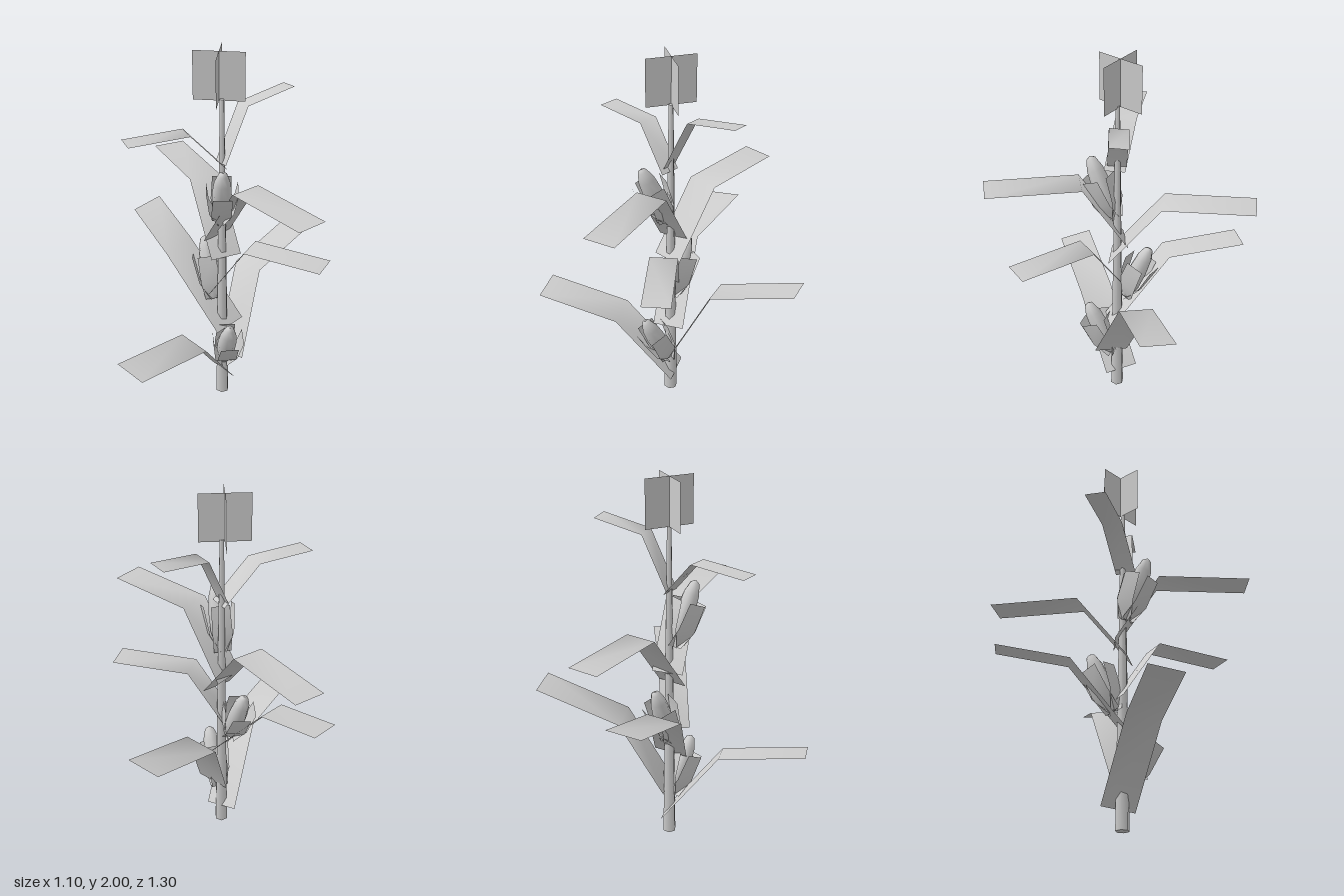
import * as THREE from 'three';

const plain = new THREE.MeshStandardMaterial({ color: 0xcccccc });
const thin = new THREE.MeshStandardMaterial({ color: 0xcccccc, side: THREE.DoubleSide });
const V = (a) => new THREE.Vector3(...a);

// Ribbon through centre points; side is half the width as a vector
function ribbon(name, points, sides) {
  const pos = [], idx = [];
  points.forEach((p, i) => {
    const c = V(p), s = V(sides[i] || sides[0]);
    pos.push(...c.clone().sub(s).toArray(), ...c.clone().add(s).toArray());
    if (i) {
      const a = 2 * i - 2;
      idx.push(a, a + 1, a + 3, a, a + 3, a + 2);
    }
  });
  const g = new THREE.BufferGeometry();
  g.setAttribute('position', new THREE.Float32BufferAttribute(pos, 3));
  g.setIndex(idx);
  g.computeVertexNormals();
  const m = new THREE.Mesh(g, thin);
  m.name = name;
  return m;
}

// Ear with four bent husk leaves, built upright and tilted from base to tip
function ear(base, tip, turn) {
  const group = new THREE.Group();
  group.name = 'ear';
  const dir = V(tip).sub(V(base));
  const len = dir.length();
  const profile = [[0, 0], [0.028, 0.04], [0.048, 0.3], [0.05, 0.55], [0.042, 0.8], [0.024, 0.96], [0, 1]]
    .map(([r, t]) => new THREE.Vector2(r, t * len));
  const cob = new THREE.Mesh(new THREE.LatheGeometry(profile, 8), plain);
  cob.name = 'cob';
  group.add(cob);
  for (let i = 0; i < 4; i++) {
    const husk = ribbon('huskLeaf',
      [[0, 0, 0.012], [0, 0.1, 0.062], [0, 0.245, 0.08]],
      [[0.045, 0, 0], [0.052, 0, 0], [0.048, 0, 0]]);
    husk.rotation.y = turn + i * Math.PI / 2;
    group.add(husk);
  }
  group.position.set(...base);
  group.quaternion.setFromUnitVectors(new THREE.Vector3(0, 1, 0), dir.normalize());
  return group;
}

export function createModel() {
  const model = new THREE.Group();
  model.name = 'cornPlant';

  // Tapering stalk
  const stalk = new THREE.Mesh(new THREE.CylinderGeometry(0.012, 0.036, 1.76, 6), plain);
  stalk.position.set(-0.015, 0.88, -0.018);
  stalk.name = 'stalk';
  model.add(stalk);

  // Crossed tassel planes
  for (const turn of [0, Math.PI / 2]) {
    const tassel = new THREE.Mesh(new THREE.PlaneGeometry(0.255, 0.25), thin);
    tassel.position.set(-0.03, 1.875, -0.023);
    tassel.rotation.y = turn;
    tassel.name = 'tassel';
    model.add(tassel);
  }

  // Leaves: base, bend and tip centres, then half-width vector
  const leaves = [
    [[-0.012, 0.112, -0.05], [-0.135, 0.485, 0.23], [-0.403, 0.545, 0.6], [0.071, -0.013, 0.05]],
    [[0.03, 0.26, -0.01], [0.102, 0.695, -0.23], [0.395, 0.84, -0.582], [0.071, 0.01, 0.056]],
    [[0.03, 0.46, 0.01], [-0.264, 0.84, -0.155], [-0.493, 0.93, -0.463], [0.06, 0.012, -0.066]],
    [[-0.07, 0.66, -0.005], [0.135, 0.985, 0.06], [0.525, 0.978, 0.202], [0.025, 0, -0.069]],
    [[0.01, 0.89, 0.01], [-0.13, 1.237, -0.22], [-0.383, 1.235, -0.612], [0.072, 0, -0.043]],
    [[-0.05, 0.98, -0.045], [0.115, 1.342, 0.115], [0.457, 1.342, 0.45], [0.058, 0, -0.06]],
    [[0, 1.4, -0.01], [-0.18, 1.607, 0.055], [-0.457, 1.598, 0.197], [0.026, 0, 0.047]],
    [[-0.02, 1.42, -0.01], [0.08, 1.705, -0.1], [0.295, 1.752, -0.267], [0.03, 0.005, 0.038]],
  ];
  for (const [base, bend, tip, side] of leaves) model.add(ribbon('leaf', [base, bend, tip], [side]));

  // Three ears along the stalk
  model.add(
    ear([-0.005, 0.22, 0], [0.045, 0.53, 0.14], 0.25),
    ear([-0.06, 0.6, -0.035], [-0.125, 0.925, -0.145], 0.1),
    ear([-0.02, 1.11, 0.005], [0.008, 1.44, 0.14], 0.15),
  );
  return model;
}
